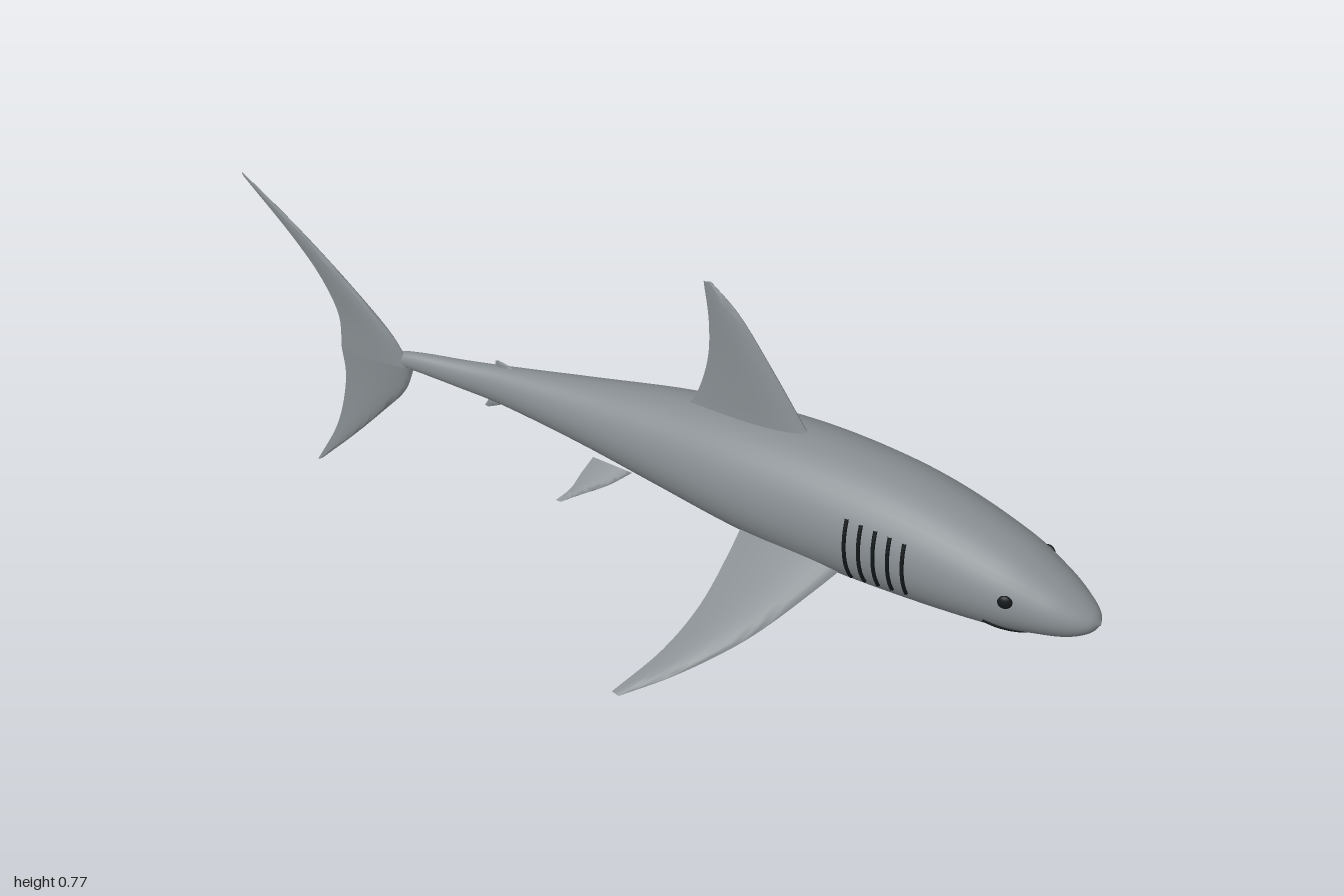
import * as THREE from 'three';
import { toCreasedNormals } from 'three/addons/utils/BufferGeometryUtils.js';

const skin = new THREE.MeshStandardMaterial({ name: 'greySkin', color: 0x868c90 });
const dark = new THREE.MeshStandardMaterial({ name: 'darkDetail', color: 0x14181a });
const V = (x, y, z) => new THREE.Vector3(x, y, z);

// Body stations: x, top, bottom, centre z, half width
const stations = [
  [-0.69, 0.347, 0.343, 0.1, 0.002],
  [-0.66, 0.361, 0.329, 0.093, 0.012],
  [-0.6, 0.372, 0.325, 0.082, 0.018],
  [-0.5, 0.38, 0.312, 0.063, 0.025],
  [-0.4, 0.392, 0.3, 0.046, 0.034],
  [-0.2, 0.42, 0.268, 0.018, 0.066],
  [0, 0.452, 0.235, -0.002, 0.1],
  [0.2, 0.477, 0.212, -0.009, 0.126],
  [0.4, 0.486, 0.205, -0.01, 0.134],
  [0.6, 0.472, 0.215, -0.006, 0.127],
  [0.8, 0.428, 0.24, 0.004, 0.103],
  [0.9, 0.388, 0.263, 0.01, 0.075],
  [0.95, 0.362, 0.278, 0.013, 0.052],
  [0.985, 0.338, 0.3, 0.015, 0.025],
  [0.997, 0.321, 0.319, 0.016, 0.001],
];

// Smooth (Hermite) interpolation of the stations at x
function bodyAt(x) {
  const S = stations, n = S.length;
  let i = 0;
  while (i < n - 2 && x > S[i + 1][0]) i++;
  const h = S[i + 1][0] - S[i][0], t = (x - S[i][0]) / h;
  const slope = (k, c) => {
    const a = S[Math.max(k - 1, 0)], b = S[Math.min(k + 1, n - 1)];
    return (b[c] - a[c]) / (b[0] - a[0]);
  };
  return [1, 2, 3, 4].map((c) =>
    (2 * t ** 3 - 3 * t * t + 1) * S[i][c] + (t ** 3 - 2 * t * t + t) * h * slope(i, c) +
    (3 * t * t - 2 * t ** 3) * S[i + 1][c] + (t ** 3 - t * t) * h * slope(i + 1, c));
}

// Point on the skin; angle runs from the back (0) round the +z side
function skinPoint(x, angle) {
  const [top, bottom, cz, rz] = bodyAt(x);
  return V(x, (top + bottom) / 2 + (top - bottom) / 2 * Math.cos(angle), cz + rz * Math.sin(angle));
}

// Join closed rings of points into a smooth surface
function loft(rings) {
  const m = rings[0].length, pos = [], index = [];
  rings.forEach((r) => r.forEach((p) => pos.push(p.x, p.y, p.z)));
  for (let i = 0; i < rings.length - 1; i++) {
    for (let j = 0; j < m; j++) {
      const a = i * m + j, b = i * m + (j + 1) % m;
      index.push(a, b, a + m, b, b + m, a + m);
    }
  }
  const g = new THREE.BufferGeometry();
  g.setAttribute('position', new THREE.Float32BufferAttribute(pos, 3));
  g.setIndex(index);
  g.computeVertexNormals();
  return g;
}

// Tapered fin between a leading and a trailing curve, given root to tip
function finGeometry(lead, trail, thickness) {
  const a = new THREE.CatmullRomCurve3(lead), b = new THREE.CatmullRomCurve3(trail);
  const span = lead.at(-1).clone().sub(lead[0]);
  const normal = trail[0].clone().sub(lead[0]).cross(span).normalize();
  const rings = [], n = 20, m = 10;
  for (let i = 0; i <= n; i++) {
    const s = i / n, p = a.getPoint(s), q = b.getPoint(s), ring = [];
    const half = thickness / 2 * (1 - 0.92 * s);
    for (let j = 0; j < 2 * m; j++) {
      const side = j <= m ? 1 : -1;
      const u = (j <= m ? j / m : 2 - j / m) ** 1.6;
      const h = 2.6 * Math.sqrt(u) * (1 - u) * half * side;
      ring.push(p.clone().lerp(q, u).addScaledVector(normal, h));
    }
    rings.push(ring);
  }
  return toCreasedNormals(loft(rings), 1);
}

export function createModel() {
  const group = new THREE.Group();
  const add = (name, geometry, material = skin) => {
    const mesh = new THREE.Mesh(geometry, material);
    mesh.name = name;
    group.add(mesh);
    return mesh;
  };
  const fin = (name, lead, trail, thickness, place) =>
    add(name, finGeometry(lead.map(place), trail.map(place), thickness));

  // Body, with rings packed closer towards both ends
  const rings = [];
  for (let i = 0; i <= 90; i++) {
    const t = (1 - Math.cos(Math.PI * i / 90)) / 2;
    const x = -0.69 + 1.687 * t;
    rings.push(Array.from({ length: 40 }, (_, j) => skinPoint(x, j / 40 * Math.PI * 2)));
  }
  add('body', loft(rings));

  // Dorsal fin, turned slightly with the bend of the body
  fin('dorsalFin',
    [[0.36, 0.43], [0.315, 0.49], [0.24, 0.6], [0.155, 0.715], [0.093, 0.768]],
    [[0.02, 0.42], [0.06, 0.48], [0.088, 0.58], [0.09, 0.67], [0.077, 0.764]],
    0.05, ([x, y]) => V(x, y, 0.005 - 0.05 * (x - 0.08)));

  // Tail lobes, swinging sideways towards the tips
  const tailPlace = ([x, y]) => V(x, y, 0.09 + 0.15 * (-0.6 - x));
  fin('upperTailLobe',
    [[-0.62, 0.335], [-0.655, 0.4], [-0.75, 0.505], [-0.88, 0.628], [-1, 0.727]],
    [[-0.79, 0.335], [-0.79, 0.42], [-0.825, 0.505], [-0.885, 0.59], [-0.998, 0.718]],
    0.026, tailPlace);
  fin('lowerTailLobe',
    [[-0.61, 0.337], [-0.635, 0.27], [-0.7, 0.19], [-0.78, 0.1], [-0.868, 0.008]],
    [[-0.79, 0.337], [-0.785, 0.27], [-0.8, 0.18], [-0.825, 0.105], [-0.88, 0.001]],
    0.026, tailPlace);

  // Small second dorsal and anal fins
  const smallPlace = ([x, y]) => V(x, y, 0.046 - 0.17 * (x + 0.4));
  fin('secondDorsalFin',
    [[-0.35, 0.37], [-0.38, 0.395], [-0.412, 0.407]],
    [[-0.43, 0.37], [-0.42, 0.39], [-0.42, 0.405]], 0.012, smallPlace);
  fin('analFin',
    [[-0.37, 0.32], [-0.405, 0.295], [-0.44, 0.278]],
    [[-0.44, 0.32], [-0.44, 0.3], [-0.45, 0.279]], 0.012, smallPlace);

  for (const side of [1, -1]) {
    const label = side > 0 ? 'right' : 'left';

    // Pectoral fins: x and distance out along the drooping span
    fin(label + 'PectoralFin',
      [[0.475, 0.06], [0.435, 0.14], [0.36, 0.27], [0.265, 0.38], [0.175, 0.46]],
      [[0.22, 0.06], [0.228, 0.14], [0.23, 0.25], [0.208, 0.35], [0.157, 0.457]],
      0.042, ([x, out]) => V(x, 0.245 - 0.545 * (out - 0.11), out * side - 0.003));

    // Pelvic fins
    fin(label + 'PelvicFin',
      [[-0.07, 0.02], [-0.11, 0.05], [-0.165, 0.08], [-0.2, 0.1]],
      [[-0.17, 0.02], [-0.182, 0.05], [-0.19, 0.075], [-0.212, 0.1]],
      0.014, ([x, out]) => V(x, 0.272 - 1.02 * out, 0.028 + out * side));

    // Eyes
    const eye = add(label + 'Eye', new THREE.SphereGeometry(0.015, 20, 14), dark);
    eye.position.copy(skinPoint(0.83, side * 1.3));
    eye.scale.z = 0.5;
    eye.rotation.y = side * 0.3;

    // Gill slits
    for (let i = 0; i < 5; i++) {
      const pts = Array.from({ length: 9 }, (_, k) =>
        skinPoint(0.482 + 0.032 * i + 0.012 * k / 8, side * (1.07 + (1.12 - 0.04 * i) * k / 8)));
      add(label + 'GillSlit', new THREE.TubeGeometry(new THREE.CatmullRomCurve3(pts), 20, 0.0045, 6), dark);
    }
  }

  // Mouth, an arc wrapped under the snout
  const lip = Array.from({ length: 15 }, (_, k) => {
    const s = k / 7 - 1;
    return skinPoint(0.875 - 0.09 * s * s, Math.PI + s * 1.08);
  });
  add('mouth', new THREE.TubeGeometry(new THREE.CatmullRomCurve3(lip), 40, 0.004, 6), dark);

  return group;
}
